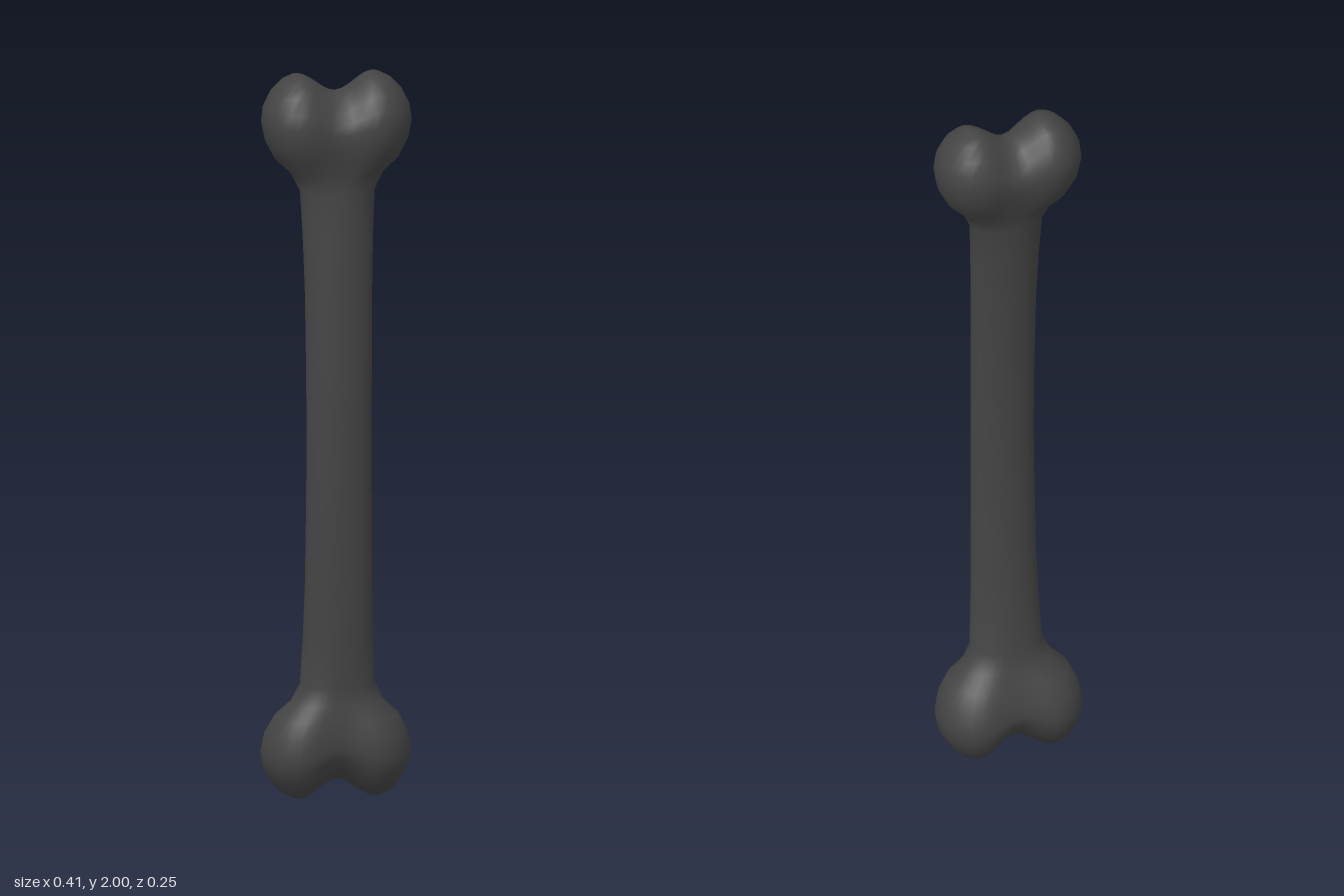
import * as THREE from 'three';
import { mergeVertices } from 'three/addons/utils/BufferGeometryUtils.js';

// Half of the bone, middle to tip: [distance from middle, half width, lobe offset, half depth, centre z]
const HALF = [
  [0, 0.088, 0, 0.057, 0.047],
  [0.2, 0.089, 0, 0.058, 0.043],
  [0.4, 0.091, 0, 0.06, 0.037],
  [0.55, 0.095, 0, 0.064, 0.028],
  [0.68, 0.101, 0, 0.068, 0.018],
  [0.73, 0.126, 0.03, 0.075, 0.013],
  [0.77, 0.168, 0.065, 0.095, 0.01],
  [0.82, 0.194, 0.085, 0.113, 0.008],
  [0.87, 0.203, 0.09, 0.121, 0.005],
  [0.91, 0.198, 0.095, 0.113, 0.003],
  [0.95, 0.178, 0.1, 0.092, 0.001],
  [0.98, 0.15, 0.105, 0.06, 0],
  [0.995, 0.122, 0.105, 0.03, 0],
  [1, 0.105, 0.105, 0, 0],
];
const SIDES = 40;

// Bell that is 1 at x = 0 and fades out at the lobe centres
const groove = (x) => (Math.abs(x) < 0.105 ? (1 + Math.cos((Math.PI * x) / 0.105)) / 2 : 0);

// One closed cross-section; end is +1 for the upper half, -1 for the lower half
function ring([h, halfWidth, lobe, halfDepth, centreZ], end) {
  const points = [];
  const knob = THREE.MathUtils.smoothstep(h, 0.72, 0.85);
  const tip = THREE.MathUtils.smoothstep(h, 0.78, 0.98);
  const shift = end < 0 ? -0.009 * knob : 0;
  for (let j = 0; j < SIDES; j++) {
    const a = (j / SIDES) * Math.PI * 2;
    const x = halfWidth * Math.cos(a);
    const past = Math.max(0, Math.abs(x) - lobe) / Math.max(halfWidth - lobe, 1e-6);
    const round = Math.sqrt(Math.max(0, 1 - past * past));
    const waist = 1 - 0.14 * knob * groove(x);
    const z = centreZ + shift + Math.sign(Math.sin(a)) * halfDepth * round * waist;
    const y = 1 + end * (h - 0.05 * tip * groove(x));
    points.push(x, y, z);
  }
  return points;
}

function boneGeometry() {
  const rings = [
    ...HALF.slice(1).reverse().map((s) => ring(s, -1)),
    ...HALF.map((s) => ring(s, 1)),
  ];
  const index = [];
  for (let i = 0; i < rings.length - 1; i++) {
    for (let j = 0; j < SIDES; j++) {
      const k = (j + 1) % SIDES;
      const a = i * SIDES + j, b = i * SIDES + k;
      index.push(a, a + SIDES, b, b, a + SIDES, b + SIDES);
    }
  }
  const geometry = new THREE.BufferGeometry();
  geometry.setAttribute('position', new THREE.Float32BufferAttribute(rings.flat(), 3));
  geometry.setIndex(index);
  // Weld the ridge where each tip closes
  const welded = mergeVertices(geometry, 1e-4);
  welded.computeVertexNormals();
  return welded;
}

export function createModel() {
  const group = new THREE.Group();
  group.name = 'bone';
  // Bowed shaft flaring into a two-lobed knob at each end
  const bone = new THREE.Mesh(boneGeometry(), new THREE.MeshStandardMaterial({ color: 0x444444 }));
  bone.name = 'shaftAndKnobs';
  group.add(bone);
  return group;
}
